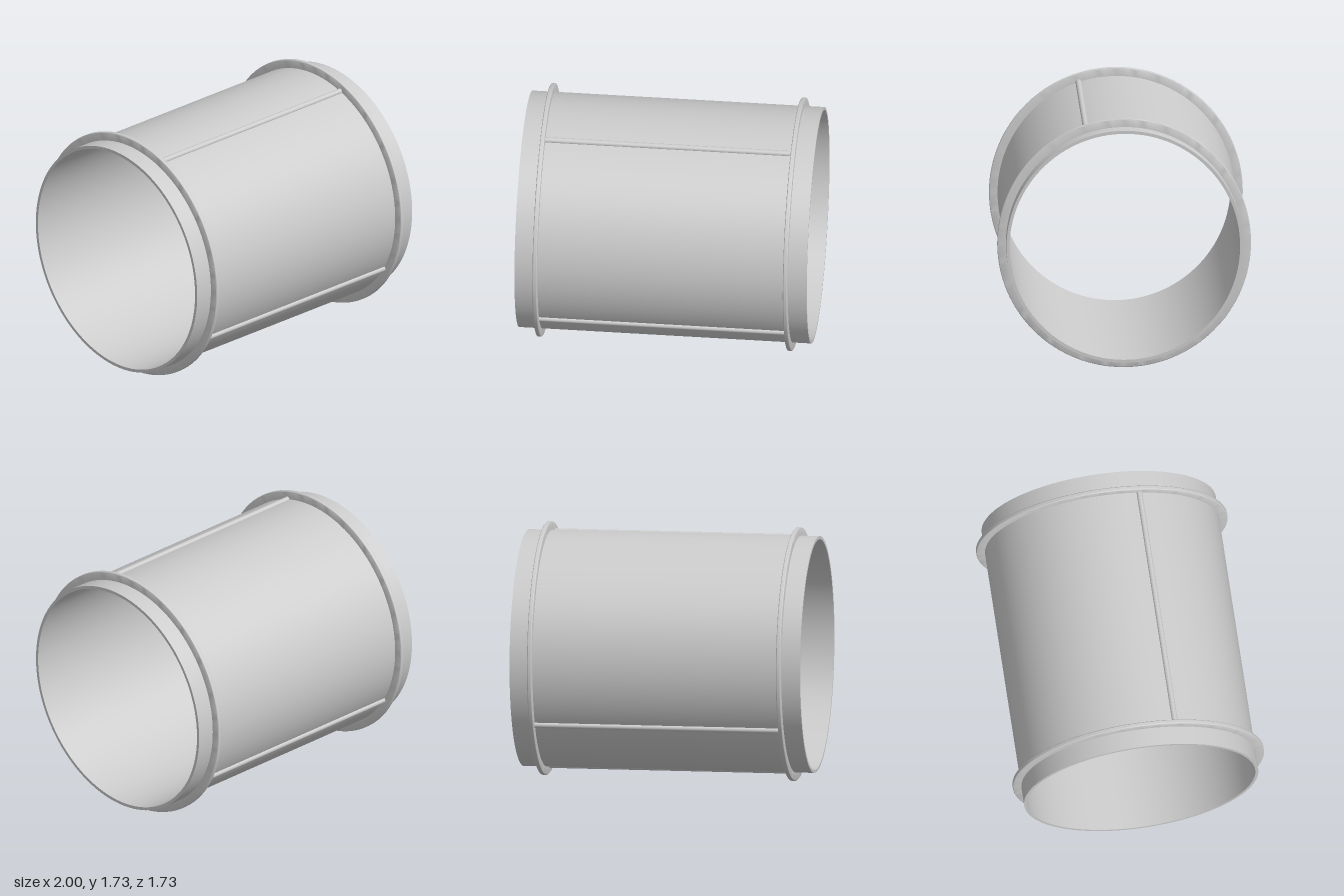
import * as THREE from 'three';
import { toCreasedNormals } from 'three/addons/utils/BufferGeometryUtils.js';

const CENTER_Y = 0.865;
const TUBE_R = 0.807;
const BORE_R = 0.786;
const FLANGE_R = 0.865;

const material = new THREE.MeshStandardMaterial({ color: 0xcccccc });

// Revolve a closed [radius, x] outline about the x axis.
function ring(name, outline) {
  const points = [...outline, outline[0]].map(([r, x]) => new THREE.Vector2(r, x));
  const geometry = toCreasedNormals(new THREE.LatheGeometry(points, 128), 0.6);
  geometry.rotateZ(-Math.PI / 2);
  const mesh = new THREE.Mesh(geometry, material);
  mesh.name = name;
  return mesh;
}

export function createModel() {
  const model = new THREE.Group();
  model.name = 'flangedDuct';
  const duct = new THREE.Group();
  duct.name = 'duct';
  duct.position.y = CENTER_Y;
  model.add(duct);

  // Open thin-walled tube
  duct.add(ring('tube', [[BORE_R, -1], [TUBE_R, -1], [TUBE_R, 1], [BORE_R, 1]]));

  // Flange at each end, with a rounded outer rim
  const half = 0.015, round = 0.007;
  const profile = [[TUBE_R - 0.01, -half]];
  for (let i = 0; i <= 4; i++) {
    const a = (i / 4 - 1) * Math.PI / 2;
    profile.push([FLANGE_R - round + round * Math.cos(a), -half + round + round * Math.sin(a)]);
  }
  for (let i = 0; i <= 4; i++) {
    const a = (i / 4) * Math.PI / 2;
    profile.push([FLANGE_R - round + round * Math.cos(a), half - round + round * Math.sin(a)]);
  }
  profile.push([TUBE_R - 0.01, half]);
  for (const side of [-1, 1]) {
    const flange = ring(side > 0 ? 'leftFlange' : 'rightFlange', profile);
    flange.position.x = side * 0.857;
    duct.add(flange);
  }

  // Half-sunk rods between the flanges; angles run from +z towards +y
  const rodGeometry = new THREE.CylinderGeometry(0.02, 0.02, 1.7, 24);
  rodGeometry.rotateZ(Math.PI / 2);
  const rods = { topRod: 71.5, frontRod: -31.2, bottomRod: -90, backRod: -148.8 };
  for (const [name, degrees] of Object.entries(rods)) {
    const a = THREE.MathUtils.degToRad(degrees);
    const rod = new THREE.Mesh(rodGeometry, material);
    rod.name = name;
    rod.position.set(0, TUBE_R * Math.sin(a), TUBE_R * Math.cos(a));
    duct.add(rod);
  }
  return model;
}
